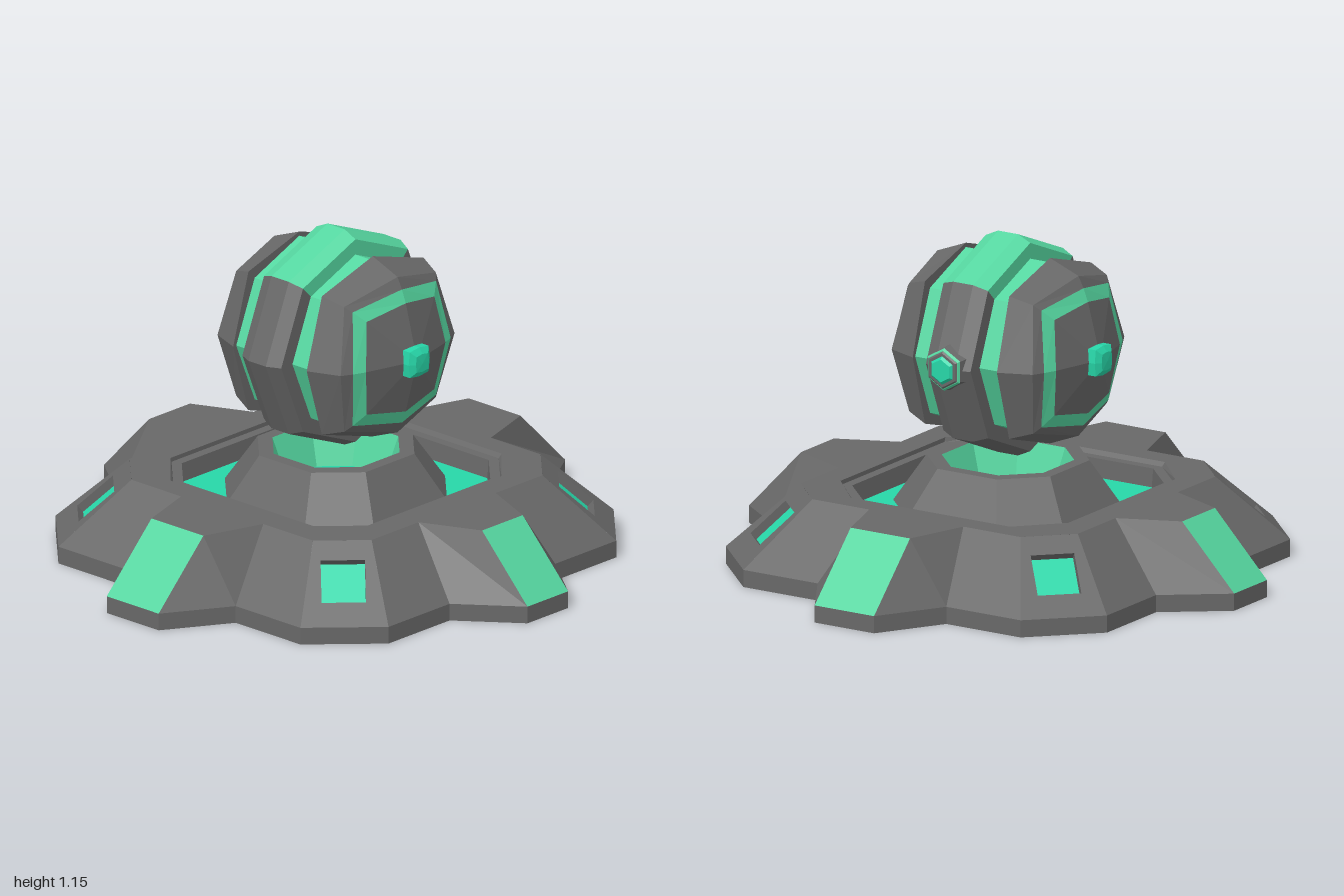
import * as THREE from 'three';

const mat = (color) => new THREE.MeshStandardMaterial({ color, flatShading: true, side: THREE.DoubleSide });
const GREY = mat(0x686868), GREEN = mat(0x55d6a0), TEAL = mat(0x27d6a8);

function add(parent, name, geometry, material) {
  const mesh = new THREE.Mesh(geometry, material);
  mesh.name = name;
  parent.add(mesh);
  return mesh;
}

// Quad strip between two closed loops of points; keep(i) selects segments
function skin(a, b, keep = () => true) {
  const pos = [], n = a.length;
  for (let i = 0; i < n; i++) {
    if (!keep(i)) continue;
    const j = (i + 1) % n;
    pos.push(...a[i], ...b[i], ...b[j]);
    if (a[i] !== a[j]) pos.push(...a[i], ...b[j], ...a[j]);
  }
  const g = new THREE.BufferGeometry();
  g.setAttribute('position', new THREE.Float32BufferAttribute(pos, 3));
  g.computeVertexNormals();
  return g;
}

// Mirror one quarter of a plan outline (x, z) into a full loop at height y
function mirrorLoop(quarter, y) {
  const rev = [...quarter].reverse();
  return [
    ...quarter.map(([x, z]) => [x, y, z]), ...rev.map(([x, z]) => [-x, y, z]),
    ...quarter.map(([x, z]) => [-x, y, -z]), ...rev.map(([x, z]) => [x, y, -z]),
  ];
}
const oct = (r, c, y) => mirrorLoop([[r, c], [c, r]], y);

// Flat horizontal plate from a loop, with an optional hole
function plate(loop, hole) {
  const to2 = (l) => l.map(([x, , z]) => new THREE.Vector2(x, -z));
  const shape = new THREE.Shape(to2(loop));
  if (hole) shape.holes.push(new THREE.Path(to2(hole)));
  return new THREE.ShapeGeometry(shape).rotateX(-Math.PI / 2).translate(0, loop[0][1], 0);
}

function buildBase() {
  const base = new THREE.Group();
  base.name = 'base';
  const outer = [[1, 0.12], [0.77, 0.26], [0.77, 0.56], [0.56, 0.77], [0.26, 0.77], [0.1, 0.98]];
  const inner = [[0.78, 0.12], [0.56, 0.19], [0.56, 0.42], [0.42, 0.56], [0.19, 0.56], [0.1, 0.77]];
  const foot = mirrorLoop(outer, 0), rim = mirrorLoop(outer, 0.06), top = mirrorLoop(inner, 0.28);

  // Open shell: rim, slopes, coloured arm ends and deck
  add(base, 'rim', skin(foot, rim), GREY);
  add(base, 'slopes', skin(rim, top, (i) => i % 6 !== 5 && i % 6 !== 2), GREY);
  add(base, 'armPanels', skin(rim, top, (i) => i % 6 === 5), GREEN);
  const edge = mirrorLoop([[0.475, 0.32], [0.32, 0.465]], 0.28);
  add(base, 'deck', plate(top, edge), GREY);

  // Trench around the pedestal
  const ledgeOut = oct(0.465, 0.315, 0.265), ledgeIn = oct(0.43, 0.302, 0.265);
  const trenchOut = oct(0.425, 0.3, 0.2), trenchIn = oct(0.345, 0.18, 0.2);
  add(base, 'trenchEdge', skin(ledgeOut, edge), GREY);
  add(base, 'trenchLedge', skin(ledgeOut, ledgeIn), GREY);
  add(base, 'trenchWall', skin(trenchOut, ledgeIn), GREY);
  add(base, 'trenchFloor', skin(trenchOut, trenchIn), TEAL);

  // Pedestal with a glowing bowl
  const lip = oct(0.25, 0.12, 0.36), lipIn = oct(0.205, 0.095, 0.36), bowl = oct(0.16, 0.075, 0.22);
  add(base, 'pedestal', skin(trenchIn, lip), GREY);
  add(base, 'pedestalLip', skin(lip, lipIn), GREY);
  add(base, 'bowlWall', skin(lipIn, bowl), GREEN);
  add(base, 'bowlFloor', plate(bowl), TEAL);
  add(base, 'pedestalUnderside', plate(trenchIn), GREY);

  // Corner slopes with recessed lights
  const rect = (z) => [[-0.075, 0.094, z], [0.075, 0.094, z], [0.075, 0.255, z], [-0.075, 0.255, z]];
  const v2 = (pts) => pts.map(([x, y]) => new THREE.Vector2(x, y));
  const facet = new THREE.Shape(v2([[-0.1485, 0], [0.1485, 0], [0.099, 0.331], [-0.099, 0.331]]));
  facet.holes.push(new THREE.Path(v2(rect(0))));
  const facetGeo = new THREE.ShapeGeometry(facet);
  const wallGeo = skin(rect(0), rect(-0.03));
  const lightGeo = new THREE.PlaneGeometry(0.15, 0.161).translate(0, 0.1745, -0.03);
  for (let k = 0; k < 4; k++) {
    const turn = new THREE.Group(), slope = new THREE.Group();
    turn.name = 'corner';
    turn.rotation.y = Math.PI / 4 + k * Math.PI / 2;
    slope.name = 'cornerSlope';
    slope.position.set(0, 0.06, 0.9405);
    slope.rotation.x = -Math.atan2(0.2475, 0.22);
    add(slope, 'cornerFacet', facetGeo, GREY);
    add(slope, 'lightRecess', wallGeo, GREY);
    add(slope, 'cornerLight', lightGeo, TEAL);
    turn.add(slope);
    base.add(turn);
  }
  return base;
}

// Eight-point loop around z: axis points at radius a, diagonal points at (c, c)
const ring = (a, za, c = a * Math.SQRT1_2, zc = za) => [
  [a, 0, za], [c, c, zc], [0, a, za], [-c, c, zc], [-a, 0, za], [-c, -c, zc], [0, -a, za], [c, -c, zc],
];

function buildOrb() {
  const orb = new THREE.Group();
  orb.name = 'orb';
  orb.position.y = 0.76;

  // Recessed drum between the shells
  add(orb, 'drum', skin(ring(0.31, 0.18), ring(0.31, -0.18)), GREEN);

  // Ridged centre band, its two top segments coloured
  const band = [ring(0.3, 0.09), ring(0.365, 0.09), ring(0.388, 0.04), ring(0.388, -0.04), ring(0.365, -0.09), ring(0.3, -0.09)];
  const isTop = (i) => i === 1 || i === 2;
  for (let k = 0; k < band.length - 1; k++) {
    add(orb, 'centreBand', skin(band[k], band[k + 1], (i) => !isTop(i)), GREY);
    add(orb, 'centreBandTop', skin(band[k], band[k + 1], isTop), GREEN);
  }

  // Domed end shells with a coloured outline and a knob
  const shell = [
    ring(0.28, 0.17, 0.2), ring(0.325, 0.17, 0.25), ring(0.28, 0.285, 0.225, 0.25),
    ring(0.24, 0.305, 0.205, 0.27), ring(0.195, 0.323, 0.167, 0.298),
  ];
  for (const angle of [0, Math.PI]) {
    const end = new THREE.Group();
    end.name = 'endShell';
    end.rotation.y = angle;
    for (let k = 0; k < shell.length - 1; k++) {
      const outline = k === 3;
      add(end, outline ? 'shellOutline' : 'shellSide', skin(shell[k + 1], shell[k]), outline ? GREEN : GREY);
    }
    const tip = [0, 0, 0.375];
    add(end, 'shellFace', skin(Array(8).fill(tip), shell[4]), GREY);
    const knob = [ring(0.052, 0.35, 0.046), ring(0.052, 0.385, 0.046), ring(0.032, 0.4, 0.028)];
    add(end, 'knobSide', skin(knob[1], knob[0]), TEAL);
    add(end, 'knobBevel', skin(knob[2], knob[1]), TEAL);
    add(end, 'knobFace', skin(Array(8).fill([0, 0, 0.402]), knob[2]), TEAL);
    orb.add(end);
  }

  // Six-sided gem on the left side
  const gem = [
    ['gemMount', 0.07, 0.082, 0.35, 0.39, GREY], ['gemTrim', 0.068, 0.075, 0.39, 0.398, GREEN],
    ['gemCollar', 0.06, 0.066, 0.398, 0.403, GREY], ['gem', 0.04, 0.053, 0.4, 0.412, TEAL],
  ];
  for (const [name, rOut, rIn, x0, x1, material] of gem) {
    const g = new THREE.CylinderGeometry(rOut, rIn, x1 - x0, 6);
    g.rotateY(Math.PI / 2).rotateZ(-Math.PI / 2).translate((x0 + x1) / 2, 0, 0);
    add(orb, name, g, material);
  }
  return orb;
}

export function createModel() {
  const model = new THREE.Group();
  model.name = 'orbOnBase';
  model.add(buildBase(), buildOrb());
  return model;
}
